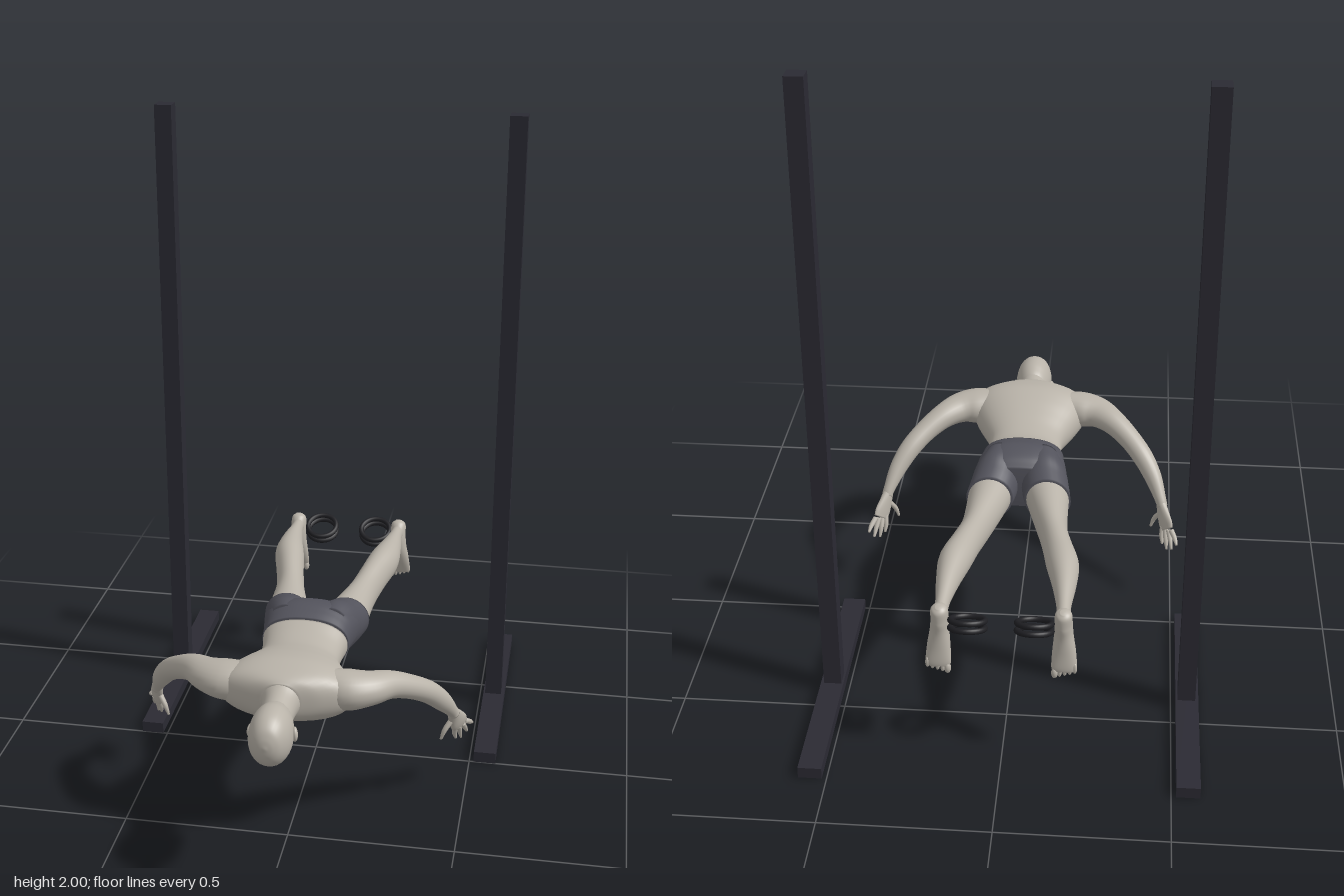
import * as THREE from 'three';

const mat = (name, color, extra = {}) => {
  const m = new THREE.MeshStandardMaterial({ color, ...extra });
  m.name = name;
  return m;
};

// Skin of ellipse sections [x, y, z, rx, ry], smoothly interpolated.
// Without "up" the sections stay upright and rows must run towards +z.
function loft(rows, { up = null, steps = 6, sides = 28, power = 1 } = {}) {
  const centre = new THREE.CatmullRomCurve3(rows.map(r => new THREE.Vector3(r[0], r[1], r[2])), false, 'catmullrom');
  const size = new THREE.CatmullRomCurve3(rows.map(r => new THREE.Vector3(r[3], r[4], 0)), false, 'catmullrom');
  const n = (rows.length - 1) * steps, pos = [], index = [];
  const X = new THREE.Vector3(1, 0, 0), Y = new THREE.Vector3(0, 1, 0);
  const soft = v => Math.sign(v) * Math.abs(v) ** power;
  for (let i = 0; i <= n; i++) {
    const c = centre.getPoint(i / n), s = size.getPoint(i / n);
    let U = X, V = Y;
    if (up) {
      const T = centre.getTangent(i / n);
      U = new THREE.Vector3().crossVectors(up, T).normalize();
      V = new THREE.Vector3().crossVectors(T, U);
    }
    for (let j = 0; j < sides; j++) {
      const a = j / sides * Math.PI * 2;
      const p = c.clone().addScaledVector(U, soft(Math.cos(a)) * Math.max(s.x, 0.001))
        .addScaledVector(V, soft(Math.sin(a)) * Math.max(s.y, 0.001));
      pos.push(p.x, p.y, p.z);
      if (i < n) {
        const k = (j + 1) % sides, b = i * sides;
        index.push(b + j, b + k, b + sides + j, b + k, b + sides + k, b + sides + j);
      }
    }
  }
  // end caps
  for (const [i, t] of [[0, 0], [n, 1]]) {
    const c = centre.getPoint(t), id = pos.length / 3;
    pos.push(c.x, c.y, c.z);
    for (let j = 0; j < sides; j++) {
      const a = i * sides + j, b = i * sides + (j + 1) % sides;
      index.push(...(t ? [id, a, b] : [id, b, a]));
    }
  }
  const g = new THREE.BufferGeometry();
  g.setAttribute('position', new THREE.Float32BufferAttribute(pos, 3));
  g.setIndex(index);
  g.computeVertexNormals();
  return g;
}

// Section given by its top and bottom height
const sec = (z, hw, top, bottom, x = 0) => [x, (top + bottom) / 2, z, hw, (top - bottom) / 2];

export function createModel() {
  const model = new THREE.Group();
  model.name = 'suspendedTrainingFigure';
  const skin = mat('skin', 0xb9b3a9), cloth = mat('shortsCloth', 0x53535c);
  const steel = mat('darkSteel', 0x2b2a33), black = mat('ringBlack', 0x1f1f23);
  const add = (name, geo, m, parent = model) => {
    const mesh = new THREE.Mesh(geo, m);
    mesh.name = name;
    parent.add(mesh);
    return mesh;
  };
  const ball = (name, x, y, z, rx, ry, rz) => {
    const b = add(name, new THREE.SphereGeometry(1, 20, 14), skin);
    b.position.set(x, y, z);
    b.scale.set(rx, ry, rz);
    return b;
  };

  // Torso, face down with the head towards +z
  add('torso', loft([
    sec(0.19, 0.132, 0.568, 0.412), sec(0.25, 0.122, 0.552, 0.412), sec(0.31, 0.123, 0.553, 0.407),
    sec(0.37, 0.147, 0.568, 0.398), sec(0.43, 0.175, 0.585, 0.393), sec(0.49, 0.195, 0.595, 0.398),
    sec(0.54, 0.185, 0.588, 0.42), sec(0.575, 0.12, 0.578, 0.44), sec(0.595, 0.05, 0.565, 0.46),
  ], { power: 0.9, sides: 40 }), skin);
  add('neck', loft([
    sec(0.54, 0.075, 0.575, 0.44), sec(0.58, 0.062, 0.57, 0.45), sec(0.62, 0.049, 0.557, 0.445),
    sec(0.70, 0.045, 0.545, 0.44),
  ]), skin);

  // Head and face
  add('head', loft([
    sec(0.619, 0.012, 0.42, 0.392), sec(0.628, 0.028, 0.46, 0.386), sec(0.65, 0.047, 0.54, 0.388),
    sec(0.69, 0.058, 0.564, 0.394), sec(0.73, 0.062, 0.57, 0.395), sec(0.77, 0.057, 0.564, 0.408),
    sec(0.80, 0.042, 0.545, 0.433), sec(0.814, 0.024, 0.52, 0.46), sec(0.819, 0.004, 0.495, 0.488),
  ], { power: 0.95, sides: 32 }), skin);
  ball('nose', 0, 0.393, 0.692, 0.011, 0.016, 0.017);
  ball('lips', 0, 0.391, 0.66, 0.018, 0.007, 0.009);

  // Seat of the shorts
  add('shortsSeat', loft([
    sec(0.035, 0.14, 0.55, 0.41), sec(0.065, 0.15, 0.575, 0.402), sec(0.12, 0.143, 0.589, 0.402),
    sec(0.16, 0.136, 0.582, 0.407), sec(0.195, 0.133, 0.57, 0.411),
  ], { power: 0.85, sides: 40 }), cloth);

  for (const s of [1, -1]) {
    const side = s > 0 ? 'left' : 'right';
    const flip = rows => rows.map(([x, ...r]) => [s * x, ...r]);

    ball(side + 'Ear', s * 0.062, 0.478, 0.705, 0.009, 0.022, 0.018).rotation.y = s * 0.3;

    // Shorts leg, thigh and calf
    add(side + 'ShortsLeg', loft(flip([
      sec(-0.02, 0.074, 0.544, 0.397, 0.093), sec(0.03, 0.076, 0.562, 0.398, 0.083),
      sec(0.08, 0.072, 0.58, 0.402, 0.077), sec(0.14, 0.06, 0.582, 0.41, 0.07),
    ])), cloth);
    add(side + 'Leg', loft(flip([
      sec(-0.665, 0.02, 0.515, 0.465, 0.176), sec(-0.60, 0.022, 0.523, 0.468, 0.174),
      sec(-0.50, 0.036, 0.54, 0.452, 0.17), sec(-0.40, 0.049, 0.55, 0.438, 0.16),
      sec(-0.30, 0.046, 0.543, 0.425, 0.14), sec(-0.20, 0.046, 0.533, 0.408, 0.12),
      sec(-0.10, 0.057, 0.535, 0.402, 0.104), sec(0, 0.071, 0.542, 0.401, 0.09),
    ])), skin);

    // Foot pointing down, with toes
    const Z = new THREE.Vector3(0, 0, 1);
    add(side + 'Foot', loft(flip([
      [0.177, 0.528, -0.676, 0.01, 0.01], [0.177, 0.515, -0.672, 0.024, 0.025],
      [0.177, 0.48, -0.661, 0.026, 0.036], [0.178, 0.44, -0.660, 0.028, 0.033],
      [0.18, 0.39, -0.671, 0.034, 0.023], [0.181, 0.345, -0.683, 0.037, 0.014],
      [0.181, 0.328, -0.686, 0.034, 0.01],
    ]), { up: Z }), skin);
    for (let i = 0; i < 5; i++) {
      const r = i ? 0.0068 : 0.01;
      ball(side + 'Toe' + (i + 1), s * (0.154 + i * 0.0145), 0.321 + i * 0.0045, -0.687, r, 0.018, r);
    }

    // Shoulder and arm
    const Y = new THREE.Vector3(0, 1, 0);
    add(side + 'Arm', loft(flip([
      [0.11, 0.51, 0.495, 0.05, 0.06], [0.18, 0.512, 0.495, 0.066, 0.058], [0.235, 0.512, 0.477, 0.058, 0.049],
      [0.29, 0.503, 0.43, 0.044, 0.041], [0.345, 0.473, 0.38, 0.037, 0.036], [0.393, 0.432, 0.33, 0.034, 0.034],
      [0.43, 0.38, 0.285, 0.028, 0.03], [0.456, 0.325, 0.24, 0.019, 0.02], [0.463, 0.305, 0.228, 0.018, 0.017],
    ]), { up: Y, sides: 24 }), skin);

    // Hand: flat palm, four fingers and a thumb
    const palmUp = new THREE.Vector3(0.8, -0.23 * s, 0.6 * s).multiplyScalar(s);
    palmUp.set(s * 0.8, -0.23, 0.6);
    add(side + 'Palm', loft(flip([
      [0.458, 0.318, 0.235, 0.017, 0.016], [0.466, 0.29, 0.215, 0.025, 0.014],
      [0.475, 0.262, 0.196, 0.032, 0.012], [0.481, 0.244, 0.182, 0.029, 0.009],
    ]), { up: palmUp, sides: 20 }), skin);
    const fingers = [
      [[0.467, 0.245, 0.2], [0.464, 0.215, 0.187], [0.467, 0.19, 0.175]],
      [[0.476, 0.243, 0.19], [0.478, 0.212, 0.17], [0.482, 0.182, 0.155]],
      [[0.486, 0.245, 0.178], [0.493, 0.218, 0.156], [0.498, 0.195, 0.136]],
      [[0.495, 0.25, 0.168], [0.507, 0.234, 0.145], [0.513, 0.22, 0.125]],
      [[0.458, 0.282, 0.222], [0.438, 0.25, 0.235], [0.427, 0.218, 0.237]],
    ];
    fingers.forEach(([a, b, c], i) => add(side + (i < 4 ? 'Finger' + (i + 1) : 'Thumb'), loft(flip([
      [...a, 0.009, 0.009], [...b, 0.0078, 0.0078], [...c, 0.004, 0.004],
    ]), { up: palmUp, sides: 10 }), skin));

    // Pair of tilted hoops beside each ankle
    const rings = new THREE.Group();
    rings.name = side + 'Rings';
    rings.position.set(s * 0.095, 0.475, -0.68);
    rings.rotation.x = Math.PI / 2 + 0.42;
    for (const d of [-0.011, 0.011]) {
      add('hoop', new THREE.TorusGeometry(0.05, 0.0085, 10, 36), black, rings).position.z = d;
    }
    model.add(rings);

    // Upright post on its floor beam
    add(side + 'Post', new THREE.BoxGeometry(0.054, 1.97, 0.054), steel).position.set(s * 0.547, 1.015, -0.41);
    add(side + 'FloorBeam', new THREE.BoxGeometry(0.07, 0.036, 0.822), steel).position.set(s * 0.549, 0.018, -0.411);
  }
  return model;
}
